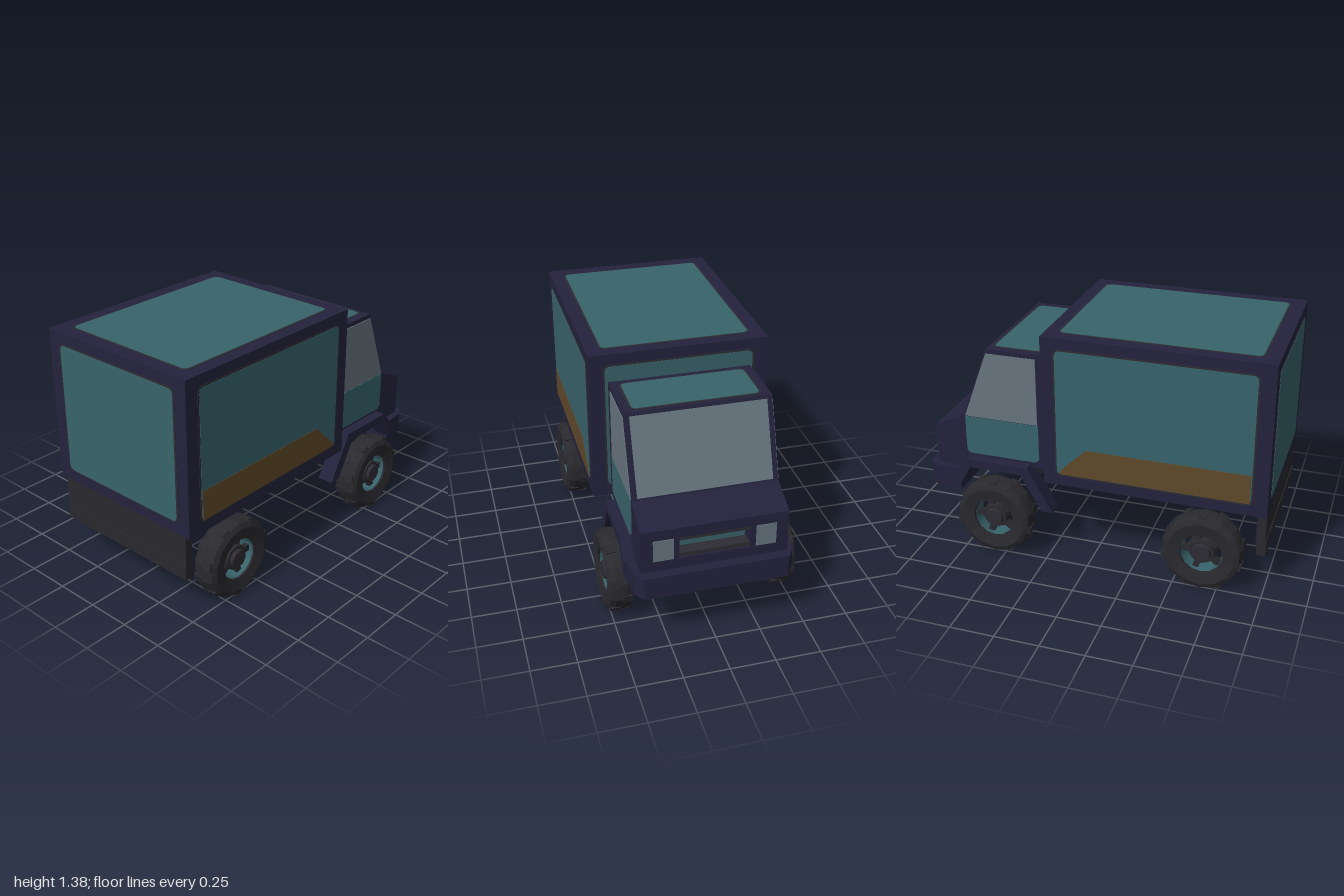
import * as THREE from 'three';

const mat = (name, color) => {
  const m = new THREE.MeshStandardMaterial({ color });
  m.name = name;
  return m;
};

export function createModel() {
  const truck = new THREE.Group();
  truck.name = 'boxTruck';
  const navy = mat('navy', 0x24223c);
  const teal = mat('teal', 0x38636b);
  const gold = mat('gold', 0x5f4a2a);
  const glass = mat('glass', 0x67757f);
  const trim = mat('trim', 0x2e2c34);
  const rubber = mat('rubber', 0x2a292e);
  const rimMat = mat('rim', 0x38636b);
  rimMat.side = THREE.DoubleSide;

  const add = (name, geo, m, parent = truck) => {
    const mesh = new THREE.Mesh(geo, m);
    mesh.name = name;
    parent.add(mesh);
    return mesh;
  };
  // Box given by its limits
  const box = (name, m, x0, x1, y0, y1, z0, z1) => {
    const g = new THREE.BoxGeometry(x1 - x0, y1 - y0, z1 - z0);
    g.translate((x0 + x1) / 2, (y0 + y1) / 2, (z0 + z1) / 2);
    return add(name, g, m);
  };
  // Side profile extruded between two z values
  const slab = (name, m, pts, za, zb) => {
    const shape = new THREE.Shape(pts.map(([x, y]) => new THREE.Vector2(x, y)));
    const g = new THREE.ExtrudeGeometry(shape, { depth: Math.abs(zb - za), bevelEnabled: false });
    g.translate(0, 0, Math.min(za, zb));
    return add(name, g, m);
  };
  // Rounded plate, centred on its own origin and facing +z
  const plate = (w, h, r, depth) => {
    const x = w / 2, y = h / 2, s = new THREE.Shape();
    s.moveTo(-x + r, -y);
    s.lineTo(x - r, -y).quadraticCurveTo(x, -y, x, -y + r);
    s.lineTo(x, y - r).quadraticCurveTo(x, y, x - r, y);
    s.lineTo(-x + r, y).quadraticCurveTo(-x, y, -x, y - r);
    s.lineTo(-x, -y + r).quadraticCurveTo(-x, -y, -x + r, -y);
    return new THREE.ExtrudeGeometry(s, { depth, bevelEnabled: false, curveSegments: 4 });
  };
  // Coloured panel with a thin dark border
  const panel = (name, w, h, pos, rx, ry) => {
    const g = new THREE.Group();
    g.name = name;
    add('panelBorder', plate(w + 0.02, h + 0.02, 0.04, 0.002), trim, g);
    add('panelFace', plate(w, h, 0.03, 0.004), teal, g);
    g.position.set(...pos);
    g.rotation.set(rx, ry, 0);
    truck.add(g);
  };

  // Cargo box with a panel on every visible face
  const H = Math.PI / 2;
  box('cargoBox', navy, -1, 0.25, 0.51, 1.38, -0.495, 0.495);
  panel('cargoSidePanel', 1.08, 0.73, [-0.37, 0.945, 0.495], 0, 0);
  panel('cargoSidePanel', 1.08, 0.73, [-0.37, 0.945, -0.495], 0, Math.PI);
  panel('cargoRoofPanel', 1.08, 0.82, [-0.37, 1.38, 0], -H, 0);
  panel('cargoFrontPanel', 0.82, 0.73, [0.25, 0.945, 0], 0, H);
  panel('cargoRearPanel', 0.82, 0.73, [-1, 0.945, 0], 0, -H);

  // Cab: two outer slabs and a centre slab notched for the grille
  const top = [[0.945, 0.72], [0.77, 0.80], [0.61, 1.225], [0.26, 1.225], [0.26, 0.53], [0.75, 0.53], [0.81, 0.46], [0.945, 0.46]];
  const notch = [[0.945, 0.53], [0.85, 0.53], [0.85, 0.66], [0.945, 0.66]];
  slab('cabCentre', navy, [...top, ...notch], -0.19, 0.19);
  slab('grilleBack', teal, [[0.85, 0.53], [0.855, 0.53], [0.855, 0.66], [0.85, 0.66]], -0.19, 0.19);
  box('grilleUpperBar', trim, 0.87, 0.935, 0.635, 0.66, -0.19, 0.19);
  box('grilleLowerBar', trim, 0.87, 0.935, 0.53, 0.555, -0.19, 0.19);

  // Windscreen lies along the sloping front of the cab
  slab('windscreen', glass, [[0.617, 1.207], [0.766, 0.81], [0.772, 0.812], [0.623, 1.209]], -0.365, 0.365);
  panel('cabRoofPanel', 0.28, 0.68, [0.44, 1.225, 0], -H, 0);

  for (const s of [1, -1]) {
    slab('cabSide', navy, top, s * 0.19, s * 0.395);
    slab('goldStripe', gold, [[-0.905, 0.582], [0.155, 0.582], [0.145, 0.61], [0, 0.75], [-0.905, 0.75]],
      s * 0.496, s * 0.5015);
    slab('sideWindow', glass, [[0.32, 0.805], [0.757, 0.805], [0.61, 1.2], [0.32, 1.2]], s * 0.395, s * 0.4);
    slab('doorPanel', teal, [[0.335, 0.57], [0.74, 0.57], [0.757, 0.59], [0.757, 0.8], [0.315, 0.8], [0.315, 0.59]],
      s * 0.395, s * 0.4);
    box('headlight', glass, 0.944, 0.95, 0.535, 0.66, s > 0 ? 0.22 : -0.33, s > 0 ? 0.33 : -0.22);
    // Angular wheel arch
    slab('wheelArch', navy, [[0.22, 0.29], [0.37, 0.555], [0.73, 0.555], [0.82, 0.46], [0.82, 0.38], [0.79, 0.38],
      [0.72, 0.505], [0.41, 0.505], [0.29, 0.29]], s * 0.36, s * 0.455);
  }

  // Front bumper with clipped corners
  const outline = [[0.79, -0.445], [0.94, -0.43], [1, -0.39], [1, 0.39], [0.94, 0.43], [0.79, 0.445]];
  const bumper = slab('frontBumper', navy, outline, 0, 0.13);
  bumper.rotation.x = -H;
  bumper.position.y = 0.342;

  // Rear mudguard
  box('rearMudguard', rubber, -0.995, -0.95, 0.33, 0.51, -0.46, 0.46);
  box('rearMudguardBar', rubber, -1, -0.95, 0.25, 0.33, -0.46, 0.46);
  box('rearMudguardLining', navy, -0.95, -0.93, 0.25, 0.51, -0.37, 0.37);

  // Wheels: chunky tyre, thin rim, hub on short spokes
  const tyreProfile = [[0.12, -0.06], [0.19, -0.073], [0.218, -0.06], [0.228, -0.03], [0.228, 0.03],
    [0.218, 0.06], [0.19, 0.073], [0.12, 0.06], [0.12, -0.06]].map(([r, y]) => new THREE.Vector2(r, y));
  const tyreGeo = new THREE.LatheGeometry(tyreProfile, 14).toNonIndexed();
  tyreGeo.computeVertexNormals();
  const rimGeo = new THREE.CylinderGeometry(0.117, 0.117, 0.1, 14, 1, true);
  const hubGeo = new THREE.CylinderGeometry(0.07, 0.085, 0.08, 10);
  const capGeo = new THREE.CylinderGeometry(0.05, 0.055, 0.02, 10);
  const blockGeo = new THREE.BoxGeometry(0.02, 0.055, 0.045);
  const spokeGeo = new THREE.BoxGeometry(0.06, 0.03, 0.035);

  for (const x of [-0.66, 0.56]) {
    for (const s of [1, -1]) {
      const wheel = new THREE.Group();
      wheel.name = 'wheel';
      add('tyre', tyreGeo, rubber, wheel);
      add('rim', rimGeo, rimMat, wheel);
      add('hub', hubGeo, rubber, wheel);
      add('hubCap', capGeo, trim, wheel).position.y = 0.05;
      for (let i = 0; i < 14; i++) {
        const a = ((i + 0.5) / 14) * Math.PI * 2;
        const block = add('treadBlock', blockGeo, rubber, wheel);
        block.position.set(0.218 * Math.cos(a), i % 2 ? 0.03 : -0.03, 0.218 * Math.sin(a));
        block.rotation.y = -a;
      }
      for (let i = 0; i < 5; i++) {
        const a = (i / 5) * Math.PI * 2;
        const spoke = add('spoke', spokeGeo, rubber, wheel);
        spoke.position.set(0.1 * Math.cos(a), 0.01, 0.1 * Math.sin(a));
        spoke.rotation.y = -a;
      }
      wheel.rotation.x = s * H;
      wheel.position.set(x, 0.235, s * 0.46);
      truck.add(wheel);
    }
  }
  return truck;
}
